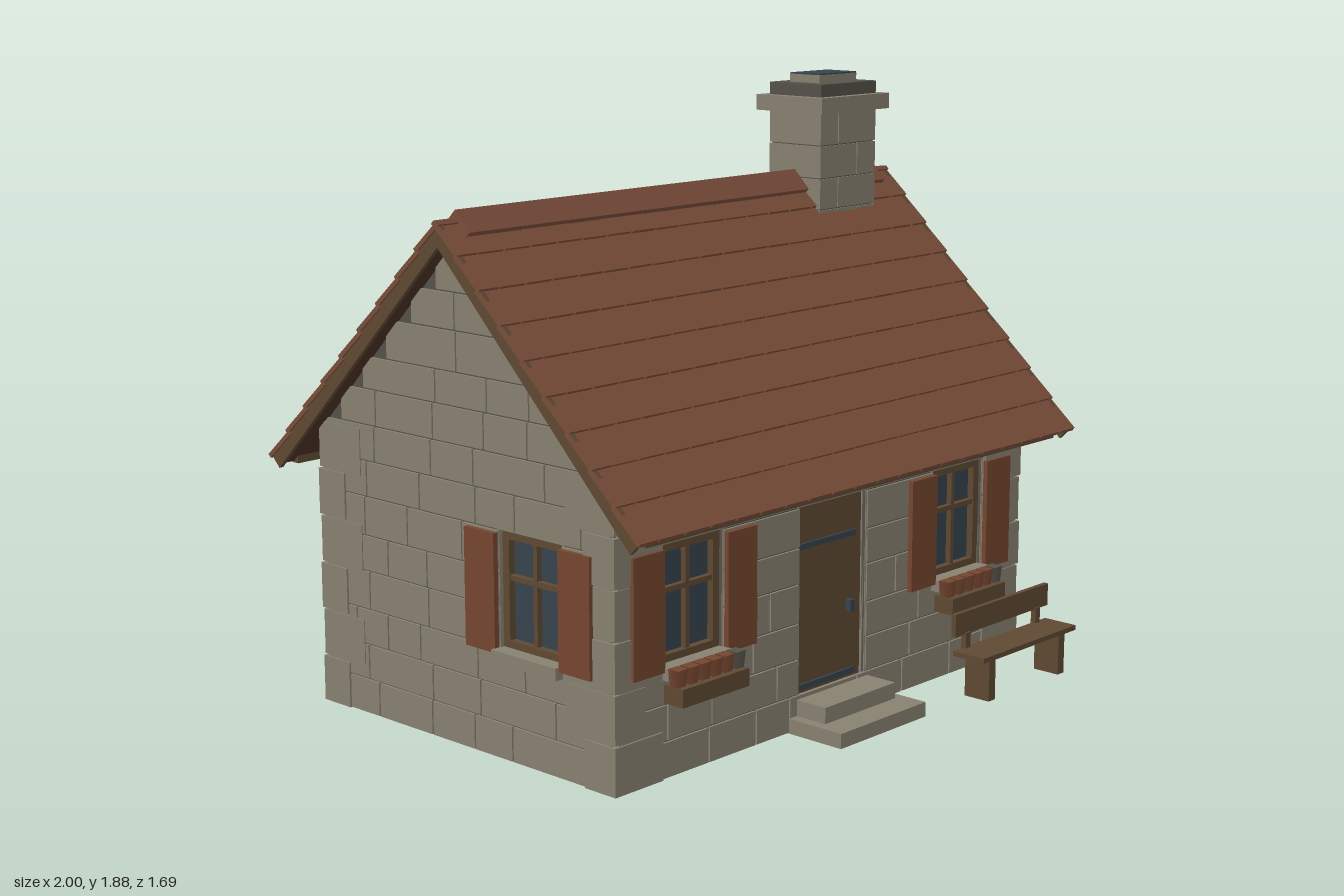
import * as THREE from 'three';
import { mergeGeometries } from 'three/addons/utils/BufferGeometryUtils.js';

const mat = (name, color, side = THREE.FrontSide) => {
  const m = new THREE.MeshStandardMaterial({ color, side });
  m.name = name;
  return m;
};

// box geometry from min/max limits
const box = (x0, x1, y0, y1, z0, z1) =>
  new THREE.BoxGeometry(x1 - x0, y1 - y0, z1 - z0)
    .translate((x0 + x1) / 2, (y0 + y1) / 2, (z0 + z1) / 2);

function add(parent, name, material, geos) {
  const list = Array.isArray(geos) ? geos : [geos];
  const mesh = new THREE.Mesh(list.length > 1 ? mergeGeometries(list) : list[0], material);
  mesh.name = name;
  parent.add(mesh);
  return mesh;
}

function group(parent, name, x = 0, y = 0, z = 0, ry = 0) {
  const g = new THREE.Group();
  g.name = name;
  g.position.set(x, y, z);
  g.rotation.y = ry;
  parent.add(g);
  return g;
}

const polygon = pts => new THREE.Shape(pts.map(p => new THREE.Vector2(...p)));

// inverted V running along x, with ends cut square to the slope
function chevron(top, bottom, reach, x0, x1) {
  const h = (top - bottom) / 2;
  const shape = polygon([[0, top], [-reach, top - reach], [-reach + h, top - reach - h],
    [0, bottom], [reach - h, top - reach - h], [reach, top - reach]]);
  return new THREE.ExtrudeGeometry(shape, { depth: x1 - x0, bevelEnabled: false })
    .rotateY(-Math.PI / 2).translate(x1, 0, 0);
}

export function createModel() {
  const stone = mat('stone', 0x878170);
  const mortar = mat('mortar', 0x55524a);
  const tile = mat('roof tile', 0x7b4e3a);
  const wood = mat('wood', 0x5f4a33);
  const underTile = mat('roof shadow wood', 0x4a3024);
  const paint = mat('shutter paint', 0x75462f);
  const iron = mat('glass and iron', 0x36434d);

  let seed = 11;
  const rnd = () => (seed = (seed * 16807) % 2147483647) / 2147483647;

  const root = new THREE.Group();
  root.name = 'cottage';
  const house = group(root, 'house', 0, 0, -0.05);
  const HX = 0.93, HZ = 0.625, APEX = 1.49;
  const rows = [0, 0.11, 0.22, 0.33, 0.45, 0.56, 0.68, 0.79, 0.9, 1.01, 1.11, 1.23, 1.34, 1.45];

  // wall shell with openings, faced with loose courses of stone
  function wall(name, half, gable, dist, ry, openings) {
    const g = group(house, name, Math.sin(ry) * dist, 0, Math.cos(ry) * dist, ry);
    const c = half - 0.01, eave = 0.87;
    const shape = polygon(gable ? [[-c, 0], [c, 0], [c, eave], [0, APEX], [-c, eave]]
      : [[-c, 0], [c, 0], [c, eave], [-c, eave]]);
    for (const [a, b, y0, y1] of openings)
      shape.holes.push(new THREE.Path([[a, y0], [a, y1], [b, y1], [b, y0]].map(p => new THREE.Vector2(...p))));
    add(g, 'wallCore', mortar,
      new THREE.ExtrudeGeometry(shape, { depth: 0.012, bevelEnabled: false }).translate(0, 0, -0.02));
    const stones = [];
    for (let i = 0; i < rows.length - 1; i++) {
      const y0 = rows[i], y1 = rows[i + 1], mid = (y0 + y1) / 2;
      if (!gable && mid > 0.88) break;
      const edge = gable ? Math.min(half - 0.012, APEX - mid - 0.01) : half - 0.012;
      let spans = [[-edge, edge]];
      for (const [a, b, o0, o1] of openings)
        if (mid > o0 && mid < o1)
          spans = spans.flatMap(([s, e]) => (a > s && b < e ? [[s, a], [b, e]] : [[s, e]]));
      for (const [s, e] of spans) {
        let x = s;
        while (e - x > 0.01) {
          let w = 0.14 + rnd() * 0.2;
          if (e - x - w < 0.1) w = e - x;
          stones.push(box(x + 0.003, x + w - 0.003, y0 + 0.003, y1 - 0.003, -0.012, 0));
          x += w;
        }
      }
    }
    add(g, 'wallStones', stone, stones);
    return g;
  }

  // recessed lining behind an opening
  function reveal(g, w, y0, y1, depth) {
    const h = w / 2, t = 0.008;
    add(g, 'reveal', stone, [box(-h - t, -h, y0, y1, -depth, -0.005), box(h, h + t, y0, y1, -depth, -0.005),
      box(-h - t, h + t, y1, y1 + t, -depth, -0.005), box(-h - t, h + t, y0 - t, y0, -depth, -0.005)]);
  }

  const W = 0.128, Y0 = 0.33, Y1 = 0.68;
  const hole = x => [x - W, x + W, Y0, Y1];
  function windowUnit(parent, x, flowers) {
    const g = group(parent, 'window', x);
    reveal(g, 2 * W, Y0, Y1, 0.08);
    add(g, 'windowBack', mortar, box(-W, W, Y0, Y1, -0.08, -0.06));
    add(g, 'glass', iron, box(-W, W, Y0, Y1, -0.05, -0.04));
    const f = 0.026, z0 = -0.04, z1 = -0.018;
    add(g, 'windowFrame', wood, [box(-W, -W + f, Y0, Y1, z0, z1), box(W - f, W, Y0, Y1, z0, z1),
      box(-W, W, Y0, Y0 + f, z0, z1), box(-W, W, Y1 - f, Y1, z0, z1),
      box(-0.008, 0.008, Y0, Y1, z0, z1 - 0.004), box(-W, W, 0.533, 0.549, z0, z1 - 0.004)]);
    for (const s of [-1, 1]) {
      const a = s < 0 ? -0.254 : 0.13;
      add(g, 'shutter', paint, box(a, a + 0.124, 0.32, 0.672, 0, 0.016));
    }
    add(g, 'sill', stone, box(-W - 0.004, W + 0.004, 0.297, Y0 + 0.004, -0.03, 0.03));
    if (!flowers) return;
    add(g, 'flowerBox', wood, box(-0.138, 0.138, 0.235, 0.288, 0.018, 0.09));
    for (let i = 0; i < 6; i++) {
      const pot = new THREE.CylinderGeometry(0.028, 0.022, 0.05, 4, 1).rotateY(Math.PI / 4)
        .translate(-0.12 + i * 0.048, 0.313, 0.055);
      add(g, 'flowerPot', i === 5 ? mortar : paint, pot);
    }
  }

  const front = wall('frontWall', HX, false, HZ, 0,
    [hole(-0.617), [-0.155, 0.155, 0.1, 0.68], hole(0.612)]);
  windowUnit(front, -0.617, true);
  windowUnit(front, 0.612, true);
  windowUnit(wall('backWall', HX, false, HZ, Math.PI, [hole(0)]), 0, false);
  windowUnit(wall('rightGable', HZ, true, HX, -Math.PI / 2, [hole(0.29)]), 0.29, false);
  wall('leftGable', HZ, true, HX, Math.PI / 2, []);

  // alternating corner stones
  const quoins = [];
  for (const sx of [-1, 1]) for (const sz of [-1, 1])
    for (let i = 0; i < 6; i++) {
      const lx = i % 2 ? 0.12 : 0.19, lz = i % 2 ? 0.19 : 0.12, y = i * 0.148;
      const out = i % 2 ? 0.003 : 0.006;
      quoins.push(new THREE.BoxGeometry(lx, 0.142, lz)
        .translate(sx * (HX + out - lx / 2), y + 0.073, sz * (HZ + out - lz / 2)));
    }
  add(house, 'cornerStones', stone, quoins);

  // door with straps and handle
  const door = group(front, 'door');
  reveal(door, 0.31, 0.1, 0.68, 0.05);
  add(door, 'doorLeaf', wood, box(-0.155, 0.155, 0.1, 0.68, -0.06, -0.025));
  for (const y of [0.12, 0.553])
    add(door, 'strap', iron, box(-0.145, 0.125, y - 0.009, y + 0.009, -0.025, -0.018));
  add(door, 'handle', iron, box(0.087, 0.105, 0.312, 0.348, -0.025, -0.005));
  add(root, 'lowerStep', stone, box(-0.2, 0.2, 0, 0.046, 0.57, 0.775));
  add(root, 'upperStep', stone, box(-0.165, 0.165, 0.046, 0.096, 0.55, 0.685));

  // roof deck, gable boards and eave boards
  const roof = group(house, 'roof');
  add(roof, 'roofDeck', underTile, chevron(1.525, 1.485, 0.765, -0.98, 0.98));
  for (const x of [-0.994, 0.98])
    add(roof, 'gableBoard', wood, chevron(1.548, 1.475, 0.785, x, x + 0.014));
  for (const s of [-1, 1])
    add(roof, 'eaveBoard', wood, box(-0.94, 0.94, 0.735, 0.78, s * 0.74 - 0.014, s * 0.74 + 0.014));

  // rows of slightly tilted tiles on both slopes
  const cols = [[-1, -0.927]];
  for (let i = 0; i < 18; i++) cols.push([-0.922 + i * 0.1025, -0.922 + i * 0.1025 + 0.0955]);
  cols.push([0.926, 1]);
  for (const ry of [0, Math.PI]) {
    const slope = group(roof, 'tiledSlope', 0, 1.55, 0, ry);
    const tiles = [];
    for (let r = 0; r < 9; r++)
      for (const [a, b] of cols)
        tiles.push(box(a, b, -0.007, 0.007, -0.067, 0.067).rotateX(-0.07)
          .translate(0, -0.007 + (rnd() - 0.5) * 0.002, 0.062 + r * 0.1235));
    add(slope, 'tiles', tile, tiles).rotation.x = Math.PI / 4;
  }
  add(roof, 'ridgeCap', tile, chevron(1.575, 1.53, 0.06, -0.925, 0.925));

  // chimney: mortar core, stone courses, cap and flue
  const chimney = group(house, 'chimney', 0.673, 0, 0);
  add(chimney, 'chimneyCore', mortar, box(-0.132, 0.132, 1.35, 1.76, -0.102, 0.102));
  const courses = [];
  [1.33, 1.45, 1.55, 1.655, 1.76].forEach((y, i, ys) => {
    if (!i) return;
    const cut = i % 2 ? 0.045 : -0.05, a = ys[i - 1] + 0.002, b = y - 0.002;
    courses.push(box(-0.138, cut - 0.002, a, b, -0.108, 0.108), box(cut + 0.002, 0.138, a, b, -0.108, 0.108));
  });
  add(chimney, 'chimneyStones', stone, courses);
  add(chimney, 'chimneyCap', stone, box(-0.17, 0.17, 1.76, 1.81, -0.138, 0.138));
  add(chimney, 'chimneyBand', mortar, box(-0.138, 0.138, 1.81, 1.85, -0.108, 0.108));
  add(chimney, 'flue', stone, box(-0.093, 0.093, 1.85, 1.876, -0.062, 0.062));
  add(chimney, 'flueOpening', iron, box(-0.092, 0.092, 1.876, 1.88, -0.061, 0.061));

  // bench
  const bench = group(root, 'bench', 0.645);
  add(bench, 'seat', wood, box(-0.245, 0.245, 0.134, 0.15, 0.725, 0.843));
  add(bench, 'backrest', wood, box(-0.245, 0.245, 0.195, 0.267, 0.717, 0.733));
  for (const s of [-1, 1]) {
    add(bench, 'leg', wood, box(s * 0.185 - 0.016, s * 0.185 + 0.016, 0, 0.135, 0.74, 0.832));
    add(bench, 'backPost', wood, box(s * 0.185 - 0.012, s * 0.185 + 0.012, 0.14, 0.2, 0.72, 0.738));
  }
  return root;
}
